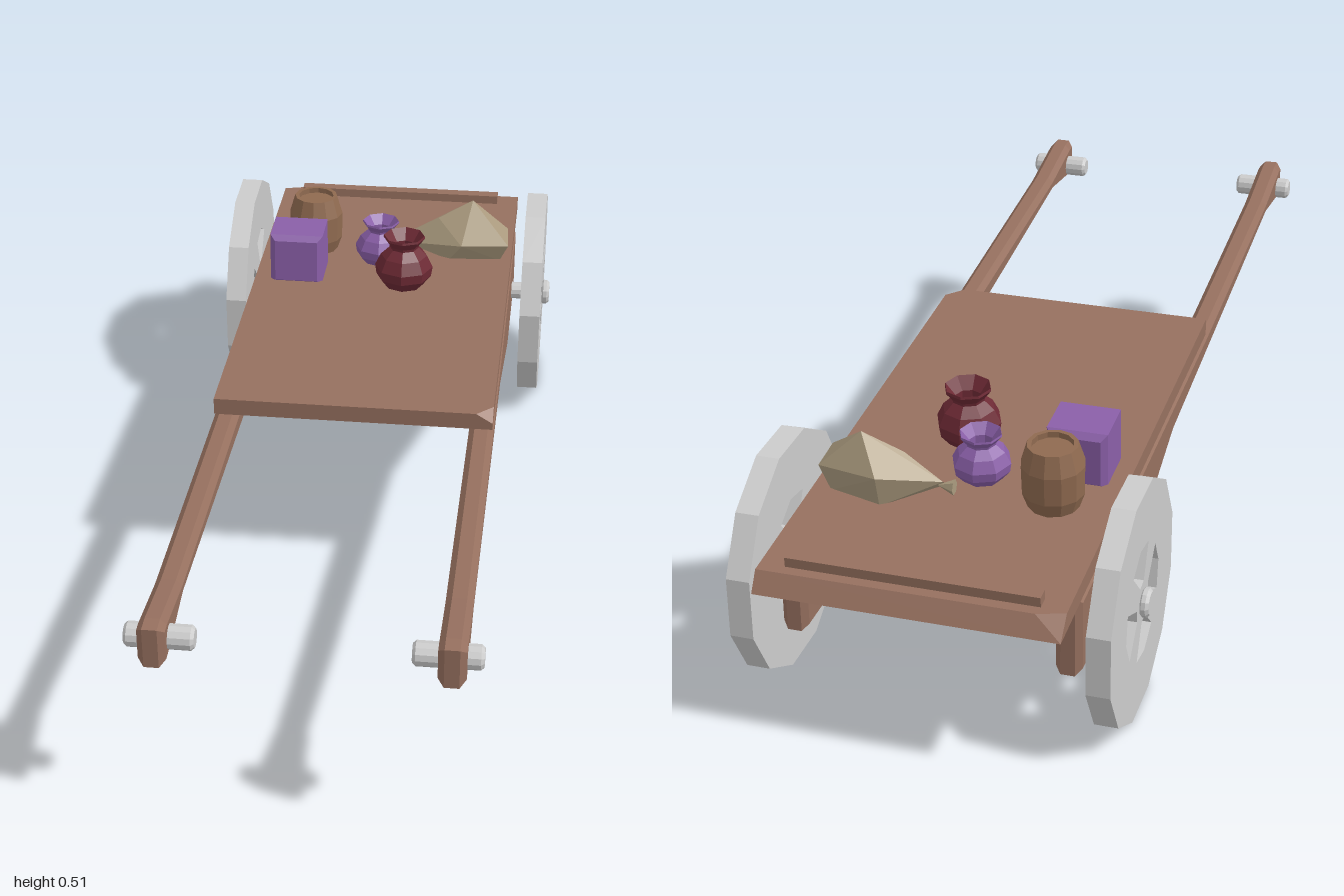
import * as THREE from 'three';
import { ConvexGeometry } from 'three/addons/geometries/ConvexGeometry.js';

const mat = (color) => new THREE.MeshStandardMaterial({ color, flatShading: true });
const V2 = (x, y) => new THREE.Vector2(x, y);
const SLOPE = 0.056;
const deckY = (z) => 0.417 - SLOPE * (0.155 - z); // top of the sloping deck

export function createModel() {
  const cart = new THREE.Group();
  cart.name = 'handcart';
  const wood = mat(0x96705f), grey = mat(0xcccccc), violet = mat(0x8a5fa8);
  const darkRed = mat(0x6e2a35), cask = mat(0x8f6a50), cloth = mat(0xaa9a7e);
  violet.side = darkRed.side = cask.side = THREE.DoubleSide;

  const add = (name, geometry, material, x = 0, y = 0, z = 0, tilt = 0) => {
    const mesh = new THREE.Mesh(geometry, material);
    mesh.name = name;
    mesh.position.set(x, y, z);
    mesh.rotation.x = tilt;
    cart.add(mesh);
    return mesh;
  };
  const lathe = (profile, sides) => new THREE.LatheGeometry(profile.map(([r, y]) => V2(r, y)), sides);
  const hull = (points) => new ConvexGeometry(points.map((p) => new THREE.Vector3(...p)));

  // Rod along x with chamfered ends
  const rod = (length, r, c = 0.006) => {
    const h = length / 2;
    return lathe([[0, -h], [r - c, -h], [r, -h + c], [r, h - c], [r - c, h], [0, h]], 12).rotateZ(-Math.PI / 2);
  };

  // Deck: sloping plank with a bevelled back edge and chipped corners
  add('deck', hull([
    [-0.295, 0.38, 0.155], [0.295, 0.38, 0.155], [-0.295, 0.315, -1], [0.295, 0.315, -1],
    [-0.295, 0.417, 0.155], [0.26, 0.417, 0.155], [0.295, 0.415, 0.12], [0.295, 0.395, 0.155],
    [0.295, deckY(-0.975), -0.975], [-0.24, deckY(-0.975), -0.975], [-0.295, deckY(-0.96), -0.96],
  ]), wood);
  add('tailRail', new THREE.BoxGeometry(0.49, 0.04, 0.028), wood, 0, deckY(-0.94), -0.94, -SLOPE);

  // Shafts: side profile in (z, y), with bevelled edges
  const profile = [[1, 0.375], [1, 0.46], [0.965, 0.46], [0.81, 0.432], [0.155, 0.378], [-0.87, 0.325],
    [-0.87, 0.157], [-0.56, 0.157], [-0.15, 0.295], [0.81, 0.395], [0.965, 0.375]];
  const shaftGeo = new THREE.ExtrudeGeometry(new THREE.Shape(profile.map(([z, y]) => V2(z, y))), {
    depth: 0.028, bevelSize: 0.012, bevelThickness: 0.012, bevelOffset: -0.012, bevelSegments: 1,
  }).translate(0, 0, -0.014).rotateY(-Math.PI / 2);

  // Wheels: twelve-sided disc with four sector openings
  const ring = [];
  for (let i = 0; i < 12; i++) {
    const a = (i + 0.5) * Math.PI / 6;
    ring.push(V2(0.2433 * Math.cos(a), 0.2433 * Math.sin(a)));
  }
  const disc = new THREE.Shape(ring);
  for (let k = 0; k < 4; k++) {
    const mid = THREE.MathUtils.degToRad(80 + 90 * k);
    const corners = [[0.045, -0.3], [0.12, -0.5], [0.125, 0], [0.12, 0.5], [0.045, 0.3]];
    disc.holes.push(new THREE.Path(corners.map(([r, a]) => V2(r * Math.cos(mid + a), r * Math.sin(mid + a)))));
  }
  const wheelGeo = new THREE.ExtrudeGeometry(disc, { depth: 0.047, bevelEnabled: false })
    .translate(0, 0, -0.0235).rotateY(Math.PI / 2);

  const axleY = 0.235, axleZ = -0.707;
  for (const [side, s] of [['left', 1], ['right', -1]]) {
    add(side + 'Shaft', shaftGeo, wood, s * 0.271);
    add(side + 'HandlePeg', rod(0.13, 0.024), grey, s * 0.262, 0.412, 0.953);
    add(side + 'Wheel', wheelGeo, grey, s * 0.3485, axleY, axleZ);
    add(side + 'HubCap', rod(0.02, 0.029), grey, s * 0.379, axleY, axleZ);
  }
  add('axle', rod(0.76, 0.02, 0.002), grey, 0, axleY, axleZ);

  // Cargo, resting on the deck
  const cargo = (name, geometry, material, x, z) => add(name, geometry, material, x, deckY(z) - 0.004, z, -SLOPE);

  cargo('barrel', lathe([[0, 0], [0.05, 0], [0.062, 0.035], [0.063, 0.095], [0.05, 0.138], [0.041, 0.138],
    [0.041, 0.126], [0, 0.126]], 12), cask, -0.174, -0.625);

  const crateShape = new THREE.Shape([V2(-0.061, -0.061), V2(0.061, -0.061), V2(0.061, 0.061), V2(-0.061, 0.061)]);
  cargo('crate', new THREE.ExtrudeGeometry(crateShape, {
    depth: 0.098, bevelSize: 0.012, bevelThickness: 0.012, bevelOffset: -0.012, bevelSegments: 1,
  }).translate(0, 0.055, -0.049), violet, -0.197, -0.488);

  // Jars: the same open profile at two sizes
  const jar = (r, h) => lathe([[0, 0], [0.62, 0], [0.95, 0.22], [1, 0.4], [0.8, 0.62], [0.5, 0.77], [0.52, 0.82],
    [0.72, 0.96], [0.7, 1], [0.4, 0.8], [0.4, 0.55], [0, 0.5]].map(([a, b]) => [a * r, b * h]), 8);
  cargo('smallJar', jar(0.06, 0.105), violet, -0.013, -0.57);
  cargo('largeJar', jar(0.067, 0.127), darkRed, 0.053, -0.445);

  // Sack: faceted lump with a tied neck
  cargo('sack', hull([
    [-0.15, 0.035, 0], [-0.15, 0.02, 0.015], [-0.04, 0, -0.06], [-0.04, 0, 0.06], [0.07, 0, -0.03], [0.08, 0, 0.05],
    [-0.04, 0.07, -0.075], [-0.01, 0.045, 0.08], [0.01, 0.128, -0.005], [0.095, 0.05, -0.025], [0.1, 0.045, 0.065],
    [-0.07, 0.085, 0.01],
  ]), cloth, 0.188, -0.655);
  cargo('sackKnot', new THREE.ConeGeometry(0.016, 0.035, 6).rotateZ(-Math.PI / 2).translate(0, 0.028, 0),
    cloth, 0.032, -0.657);

  return cart;
}
